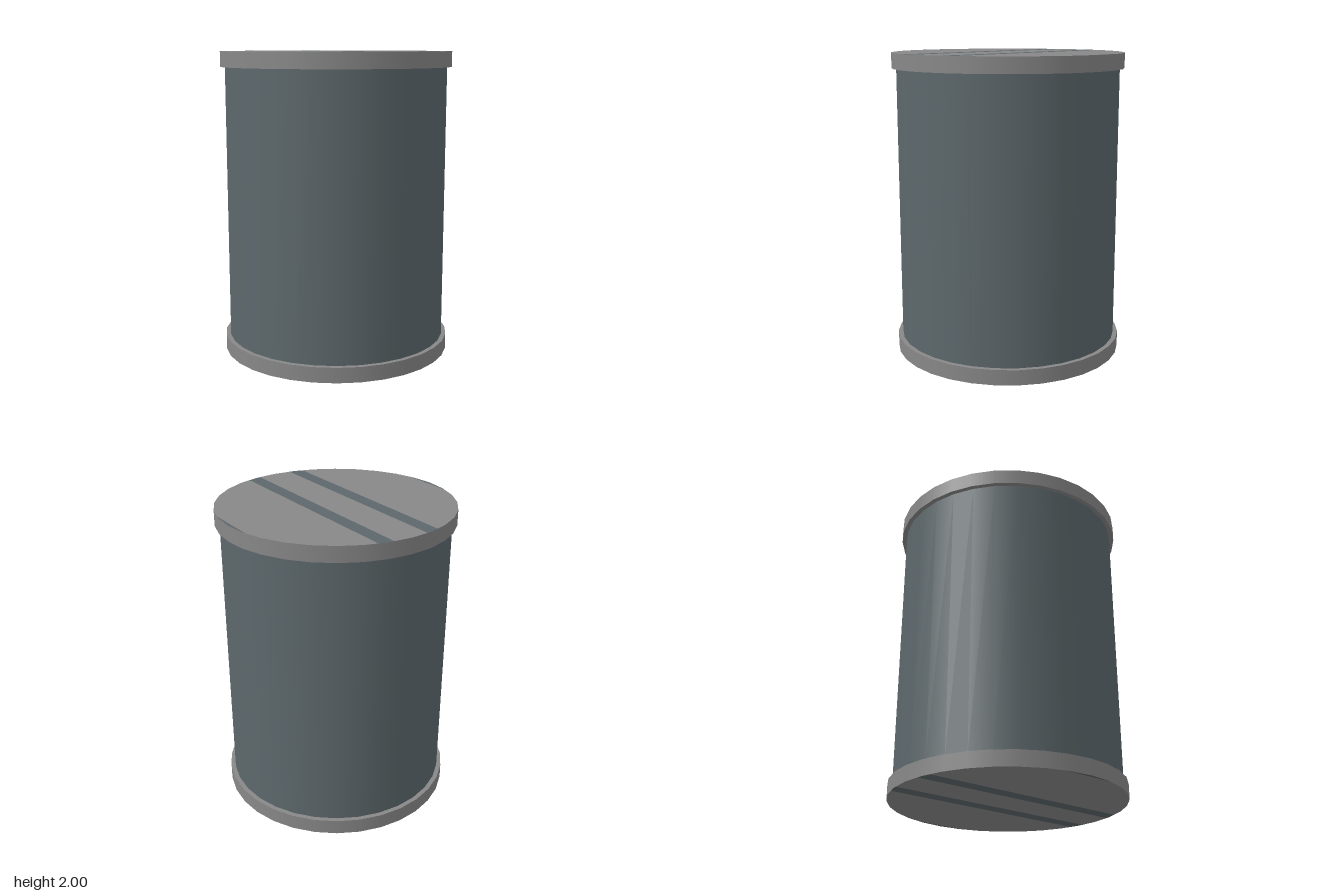
import * as THREE from 'three';

const SIDES = 32, CAP_R = 0.76, BODY_R = 0.73, HEIGHT = 2, CAP_H = 0.1;

// Half-depth of the cap's polygon at a given x
function halfDepth(x) {
  const step = (Math.PI * 2) / SIDES;
  const a = Math.acos(THREE.MathUtils.clamp(x / CAP_R, -1, 1));
  const k = Math.min(Math.floor(a / step + 1e-6), SIDES / 2 - 1);
  const x0 = CAP_R * Math.cos(k * step), x1 = CAP_R * Math.cos((k + 1) * step);
  const z0 = CAP_R * Math.sin(k * step), z1 = CAP_R * Math.sin((k + 1) * step);
  return z0 + ((z1 - z0) * (x - x0)) / (x1 - x0);
}

// Slice of the cap's polygon between two x values, facing up
function sliceGeometry(xa, xb) {
  const xs = [xa];
  for (let i = SIDES / 2; i >= 0; i--) {
    const x = CAP_R * Math.cos((i * Math.PI * 2) / SIDES);
    if (x > xa + 1e-5 && x < xb - 1e-5) xs.push(x);
  }
  xs.push(xb);
  const points = xs.map((x) => new THREE.Vector2(x, -halfDepth(x)));
  for (const x of xs.reverse()) {
    const d = halfDepth(x);
    if (d > 1e-5) points.push(new THREE.Vector2(x, d));
  }
  return new THREE.ShapeGeometry(new THREE.Shape(points)).rotateX(-Math.PI / 2);
}

export function createModel() {
  const grey = new THREE.MeshStandardMaterial({ color: 0x888888 });
  grey.name = 'capGrey';
  const slate = new THREE.MeshStandardMaterial({ color: 0x5d686c });
  slate.name = 'slate';

  const model = new THREE.Group();
  model.name = 'canister';
  const add = (parent, name, geometry, material, y = 0) => {
    const mesh = new THREE.Mesh(geometry, material);
    mesh.name = name;
    mesh.position.y = y;
    parent.add(mesh);
  };

  // Body
  add(model, 'body', new THREE.CylinderGeometry(BODY_R, BODY_R, HEIGHT - 2 * CAP_H, SIDES, 1, true), slate, HEIGHT / 2);

  // Cap with rim, inner lip and a striped outer face
  const edges = [-CAP_R, -0.738, -0.212, -0.118, 0.118, 0.212, 0.738, CAP_R];
  const makeCap = (name) => {
    const cap = new THREE.Group();
    cap.name = name;
    add(cap, 'rim', new THREE.CylinderGeometry(CAP_R, CAP_R, CAP_H, SIDES, 1, true), grey, -CAP_H / 2);
    add(cap, 'lip', new THREE.RingGeometry(BODY_R - 0.02, CAP_R, SIDES).rotateX(Math.PI / 2), grey, -CAP_H);
    for (let i = 0; i < edges.length - 1; i++) {
      const striped = i % 2 === 0;
      add(cap, striped ? 'stripe' : 'panel', sliceGeometry(edges[i], edges[i + 1]), striped ? slate : grey);
    }
    model.add(cap);
    return cap;
  };
  makeCap('topCap').position.y = HEIGHT;
  makeCap('bottomCap').rotation.x = Math.PI;

  return model;
}
